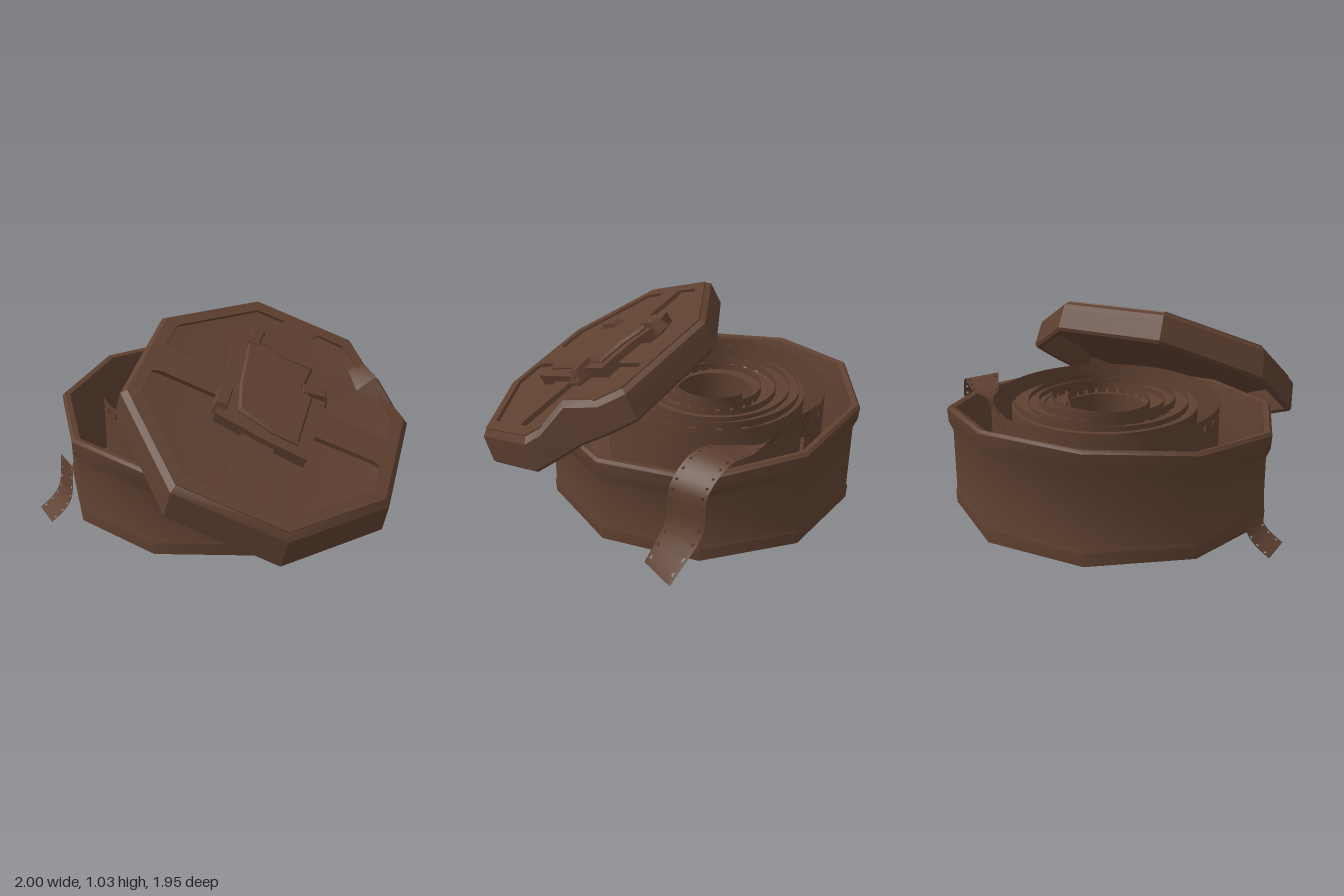
import * as THREE from 'three';
import { toCreasedNormals } from 'three/addons/utils/BufferGeometryUtils.js';

const V = (x, y, z) => new THREE.Vector3(x, y, z);

export function createModel() {
  const root = new THREE.Group();
  const brown = new THREE.MeshStandardMaterial({ color: 0x5e4030, side: THREE.DoubleSide });
  brown.name = 'brown';

  const add = (parent, geo, name, crease = 0.5) => {
    const mesh = new THREE.Mesh(toCreasedNormals(geo, crease), brown);
    mesh.name = name;
    parent.add(mesh);
    return mesh;
  };

  const fromLists = (pos, idx) => {
    const g = new THREE.BufferGeometry();
    g.setAttribute('position', new THREE.Float32BufferAttribute(pos, 3));
    g.setIndex(idx);
    return g;
  };

  // Skin closed rings of points, with a flat cap on the first and last ring
  function loft(rings) {
    const n = rings[0].length, pos = [], idx = [];
    rings.forEach(r => r.forEach(p => pos.push(p.x, p.y, p.z)));
    for (let r = 0; r < rings.length - 1; r++)
      for (let i = 0; i < n; i++) {
        const a = r * n + i, b = r * n + (i + 1) % n;
        idx.push(a, b, a + n, b, b + n, a + n);
      }
    [0, rings.length - 1].forEach((r, k) => {
      const c = pos.length / 3, mid = V(0, 0, 0);
      rings[r].forEach(p => mid.addScaledVector(p, 1 / n));
      pos.push(mid.x, mid.y, mid.z);
      for (let i = 0; i < n; i++) {
        const a = r * n + i, b = r * n + (i + 1) % n;
        idx.push(...(k ? [a, b, c] : [b, a, c]));
      }
    });
    return fromLists(pos, idx);
  }

  // Film band between two edges, with sprocket holes along both borders
  function film(edgeA, edgeB, n) {
    const rows = [0, 0.07, 0.13, 0.87, 0.93, 1], m = rows.length, pos = [], idx = [];
    for (let i = 0; i <= n; i++) {
      const a = edgeA(i / n), b = edgeB(i / n);
      rows.forEach(f => {
        const p = a.clone().lerp(b, f);
        pos.push(p.x, p.y, p.z);
      });
    }
    for (let i = 0; i < n; i++)
      for (let j = 0; j < m - 1; j++) {
        if ((j === 1 || j === 3) && i % 4 === 1) continue;
        const k = i * m + j;
        idx.push(k, k + 1, k + m, k + 1, k + m + 1, k + m);
      }
    return fromLists(pos, idx);
  }

  const shapeOf = pts => new THREE.Shape(pts.map(p => new THREE.Vector2(p[0], p[1])));
  // Extrude a plan drawn in x and z so that it rises from y0 by h
  const slab = (shape, y0, h, bevel = 0) =>
    new THREE.ExtrudeGeometry(shape, {
      depth: h, bevelEnabled: bevel > 0, bevelSize: bevel, bevelThickness: bevel, bevelSegments: 1,
    }).rotateX(Math.PI / 2).translate(0, y0 + h, 0);

  // Ten-sided tin, its rim rising towards the back
  const tinRing = ([y, s]) => Array.from({ length: 10 }, (_, i) => {
    const a = i * Math.PI / 5 + 0.05;
    const x = -0.04 + 0.847 * s * Math.cos(a), z = -0.17 - 0.835 * s * Math.sin(a);
    const rise = y > 0.3 ? 0.08 * Math.max(0, (-z - 0.3) / 0.65) - 0.02 * Math.max(0, z / 0.6) : 0;
    return V(x, y + rise, z);
  });
  add(root, loft([[0.02, 0.955], [0.025, 0.975], [0.09, 0.978], [0.11, 0.97], [0.37, 0.97],
    [0.42, 0.995], [0.485, 1], [0.5, 0.985], [0.495, 0.95], [0.4, 0.93], [0.06, 0.925]].map(tinRing)), 'tin', 0.7);

  // Film roll: wound core, packed windings and one loose outer turn
  const roll = new THREE.Group();
  roll.name = 'filmRoll';
  roll.position.set(-0.03, 0, -0.24);
  root.add(roll);
  const spiral = (r0, r1, turns, y) => t => {
    const a = t * turns * Math.PI * 2 - 0.9, r = r0 + (r1 - r0) * t + 0.008 * Math.sin(a * 2.3);
    return V(r * Math.cos(a), y + 0.01 * Math.sin(a * 1.3), r * Math.sin(a));
  };
  add(roll, film(spiral(0.19, 0.49, 4.5, 0.58), spiral(0.2, 0.49, 4.5, 0.1), 420), 'woundFilm', 1);
  add(roll, film(spiral(0.57, 0.585, 1, 0.58), spiral(0.57, 0.585, 1, 0.1), 160), 'looseTurn', 1);
  add(roll, new THREE.LatheGeometry([[0.2, 0.08], [0.2, 0.53], [0.3, 0.54], [0.31, 0.55], [0.47, 0.545], [0.47, 0.08]]
    .map(p => new THREE.Vector2(p[0], p[1])), 48), 'packedWindings');

  // Film ends hanging outside the tin
  const curve = pts => {
    const c = new THREE.CatmullRomCurve3(pts.map(p => V(...p)));
    return t => c.getPoint(t);
  };
  add(root, film(
    curve([[0.2, 0.58, -0.76], [0.45, 0.58, -0.58], [0.66, 0.56, -0.45], [0.8, 0.575, -0.34],
      [0.895, 0.47, -0.25], [0.905, 0.27, -0.23], [0.995, 0.04, -0.09]]),
    curve([[0.2, 0.4, -0.72], [0.41, 0.46, -0.56], [0.56, 0.54, -0.36], [0.7, 0.585, -0.18],
      [0.81, 0.47, -0.075], [0.81, 0.27, -0.055], [0.86, 0.06, 0.04]]), 84), 'rightFilmEnd', 1);
  const tail = z => curve([[-0.86, 0.29, z], [-0.868, 0.2, z], [-0.885, 0.11, z], [-0.93, 0.05, z], [-1, 0.003, z]]);
  add(root, film(tail(-0.41), tail(-0.23), 28), 'leftFilmEnd', 1);

  // Tilted eight-sided lid, one side dented and buckled upwards
  const lid = new THREE.Group();
  lid.name = 'lid';
  lid.position.set(-0.05, 0.7, 0.4);
  lid.rotation.x = 0.533;
  root.add(lid);
  const outline = [[0.69, 0.29], [0.68, 0.2], [0.645, 0.03], [0.68, -0.13], [0.69, -0.29], [0.29, -0.69],
    [-0.29, -0.69], [-0.69, -0.29], [-0.69, 0.29], [-0.29, 0.69], [0.29, 0.69]];
  const lidRing = ([y, s]) => outline.map(([x, z], i) => {
    const buckle = i === 2 && y > -0.1 && s > 0.925 ? 0.06 : 0;
    return V(x * s, y * (1 + 0.12 * z) + buckle, z * s - 0.17 * y);
  });
  add(lid, loft([[-0.025, 0.8], [-0.003, 0.935], [-0.03, 0.98], [-0.06, 0.985], [-0.165, 1],
    [-0.18, 0.985], [-0.175, 0.95], [-0.055, 0.92]].map(lidRing)), 'lidShell');

  // Raised border and crossing ribs around four sunken panels
  const frame = shapeOf(outline.map(p => [p[0] * 0.94, p[1] * 0.94]));
  const panel = [[-0.24, 0.59], [0.24, 0.59], [0.35, 0.485], [0.335, 0.45], [0.06, 0.18],
    [-0.06, 0.18], [-0.335, 0.45], [-0.35, 0.485]];
  for (let k = 0; k < 4; k++) {
    const c = Math.round(Math.cos(k * Math.PI / 2)), s = Math.round(Math.sin(k * Math.PI / 2));
    frame.holes.push(new THREE.Path(panel.map(([x, z]) => new THREE.Vector2(c * x - s * z, s * x + c * z))));
  }
  add(lid, slab(frame, -0.03, 0.03), 'lidRibs');

  // Worn plate in the middle: bordered edge and raised centre
  const plate = [[0.02, -0.46], [0.14, -0.42], [0.22, -0.28], [0.37, -0.13], [0.25, -0.01],
    [0.29, 0.05], [-0.02, 0.36], [-0.16, 0.2], [-0.32, -0.01], [-0.2, -0.15]];
  const inner = [[0.07, -0.4], [0.14, -0.33], [0.18, -0.24], [0.3, -0.12], [0.18, -0.02],
    [0.2, 0.05], [-0.02, 0.28], [-0.11, 0.18], [-0.21, 0.01], [-0.13, -0.13]];
  const border = shapeOf(plate);
  border.holes.push(new THREE.Path(inner.map(p => new THREE.Vector2(p[0], p[1]))));
  add(lid, slab(border, -0.025, 0.06), 'plateBorder');
  add(lid, slab(shapeOf(inner.map(p => [p[0] * 0.92, p[1] * 0.92])), -0.01, 0.05, 0.012), 'plateCentre');

  // Clasp folds gripping the plate
  [[0.1, -0.38, 0.75], [0.22, 0.02, -0.6], [-0.24, -0.08, 0.85]].forEach(([x, z, turn]) => {
    const clasp = add(lid, new THREE.CylinderGeometry(0.05, 0.08, 0.06, 4, 1).rotateY(Math.PI / 4)
      .scale(1.5, 1, 0.7), 'plateClasp');
    clasp.position.set(x, 0.03, z);
    clasp.rotation.y = turn;
  });

  return root;
}
